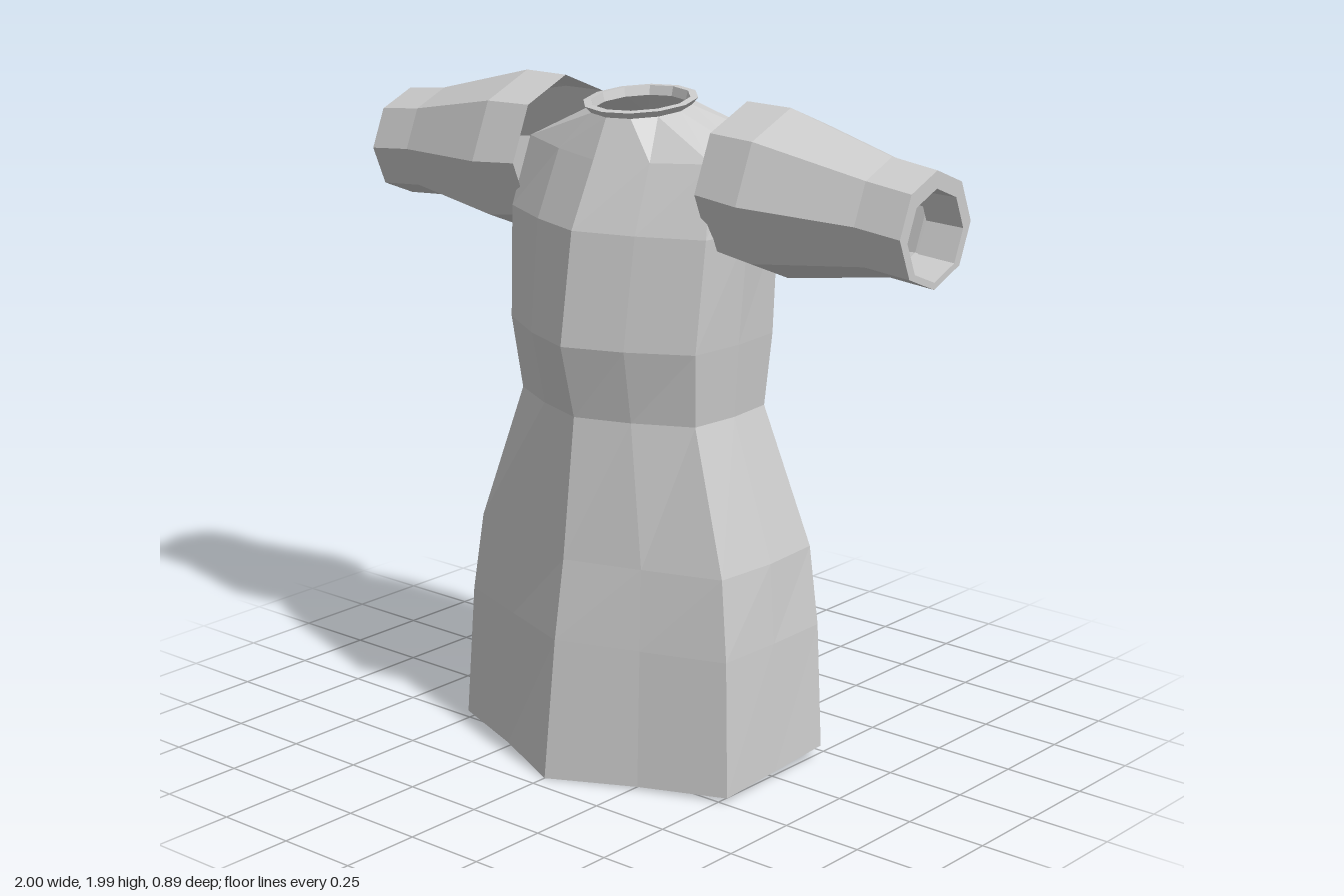
import * as THREE from 'three';

// Skin a list of closed rings (equal point counts) into one faceted surface.
function skin(rings, material, name) {
  const n = rings[0].length;
  const positions = rings.flat(2);
  const index = [];
  for (let r = 0; r < rings.length - 1; r++) {
    for (let i = 0; i < n; i++) {
      const a = r * n + i, b = r * n + (i + 1) % n;
      index.push(a, b, b + n, a, b + n, a + n);
    }
  }
  const geometry = new THREE.BufferGeometry();
  geometry.setAttribute('position', new THREE.Float32BufferAttribute(positions, 3));
  geometry.setIndex(index);
  geometry.computeVertexNormals();
  const mesh = new THREE.Mesh(geometry, material);
  mesh.name = name;
  return mesh;
}

// Twelve-point body section: pointed front and back, flat flanks.
// bulge places the panel middle between corner and centre line.
function bodyRing({ yF, yB, corner, side, zF, zcF, zcB, zB, bulge }) {
  const mix = (c, m) => c + (m - c) * bulge;
  const half = [
    [0, zF], [corner * 0.5, mix(zcF, zF)], [corner, zcF], [side, (zcF + zcB) / 2],
    [corner, zcB], [corner * 0.5, mix(zcB, zB)], [0, zB],
  ];
  const mirrored = half.slice(1, 6).reverse().map(([x, z]) => [-x, z]);
  return [...half, ...mirrored].map(([x, z]) => [x, yF + (yB - yF) * (zF - z) / (zF - zB), z]);
}

// Round neckline section, tilted up toward the back.
function neckRing(radius, y) {
  return Array.from({ length: 12 }, (_, i) => {
    const a = i * Math.PI / 6;
    const z = 0.015 + radius * Math.cos(a);
    return [radius * Math.sin(a), y - 0.1 * z, z];
  });
}

// Octagonal sleeve section across the x axis.
function sleeveRing(side, x, y, radius) {
  return Array.from({ length: 8 }, (_, i) => {
    const a = i * Math.PI / 4;
    return [side * x, y + radius * Math.cos(a), -0.045 + side * radius * Math.sin(a)];
  });
}

export function createModel() {
  const group = new THREE.Group();
  group.name = 'tunic';
  const cloth = new THREE.MeshStandardMaterial({ color: 0xcccccc, flatShading: true, side: THREE.DoubleSide });
  cloth.name = 'grey cloth';

  // Body from hem to shoulders, starting with the turned-in hem
  const sections = [
    [0.05, 0.10, 0.49, 0.49, 0.415, 0.21, -0.19, -0.41, 0.45],
    [0.00, 0.05, 0.52, 0.52, 0.45, 0.235, -0.21, -0.445, 0.45],
    [0.42, 0.42, 0.50, 0.505, 0.40, 0.22, -0.21, -0.445, 0.5],
    [0.66, 0.66, 0.47, 0.485, 0.36, 0.205, -0.205, -0.40, 0.52],
    [1.08, 1.08, 0.335, 0.35, 0.31, 0.165, -0.15, -0.31, 0.6],
    [1.30, 1.30, 0.355, 0.37, 0.365, 0.19, -0.16, -0.33, 0.6],
    [1.63, 1.63, 0.37, 0.39, 0.315, 0.165, -0.16, -0.295, 0.6],
    [1.82, 1.88, 0.345, 0.35, 0.22, 0.11, -0.16, -0.25, 0.6],
  ].map(([yF, yB, corner, side, zF, zcF, zcB, zB, bulge]) =>
    bodyRing({ yF, yB, corner, side, zF, zcF, zcB, zB, bulge }));
  group.add(skin([...sections, neckRing(0.15, 1.95)], cloth, 'body'));

  // Flared collar with a turned-in lip
  group.add(skin([neckRing(0.15, 1.95), neckRing(0.168, 1.97), neckRing(0.145, 1.972), neckRing(0.138, 1.945)],
    cloth, 'collar'));

  // Sleeves: open at the shoulder, with a turned-in cuff
  for (const [side, name] of [[1, 'leftSleeve'], [-1, 'rightSleeve']]) {
    const rings = [
      [0.345, 1.76, 0.232], [0.5, 1.748, 0.243], [0.85, 1.73, 0.168],
      [1, 1.715, 0.165], [1, 1.70, 0.13], [0.88, 1.705, 0.125],
    ].map(([x, y, r]) => sleeveRing(side, x, y, r));
    group.add(skin(rings, cloth, name));
  }
  return group;
}
